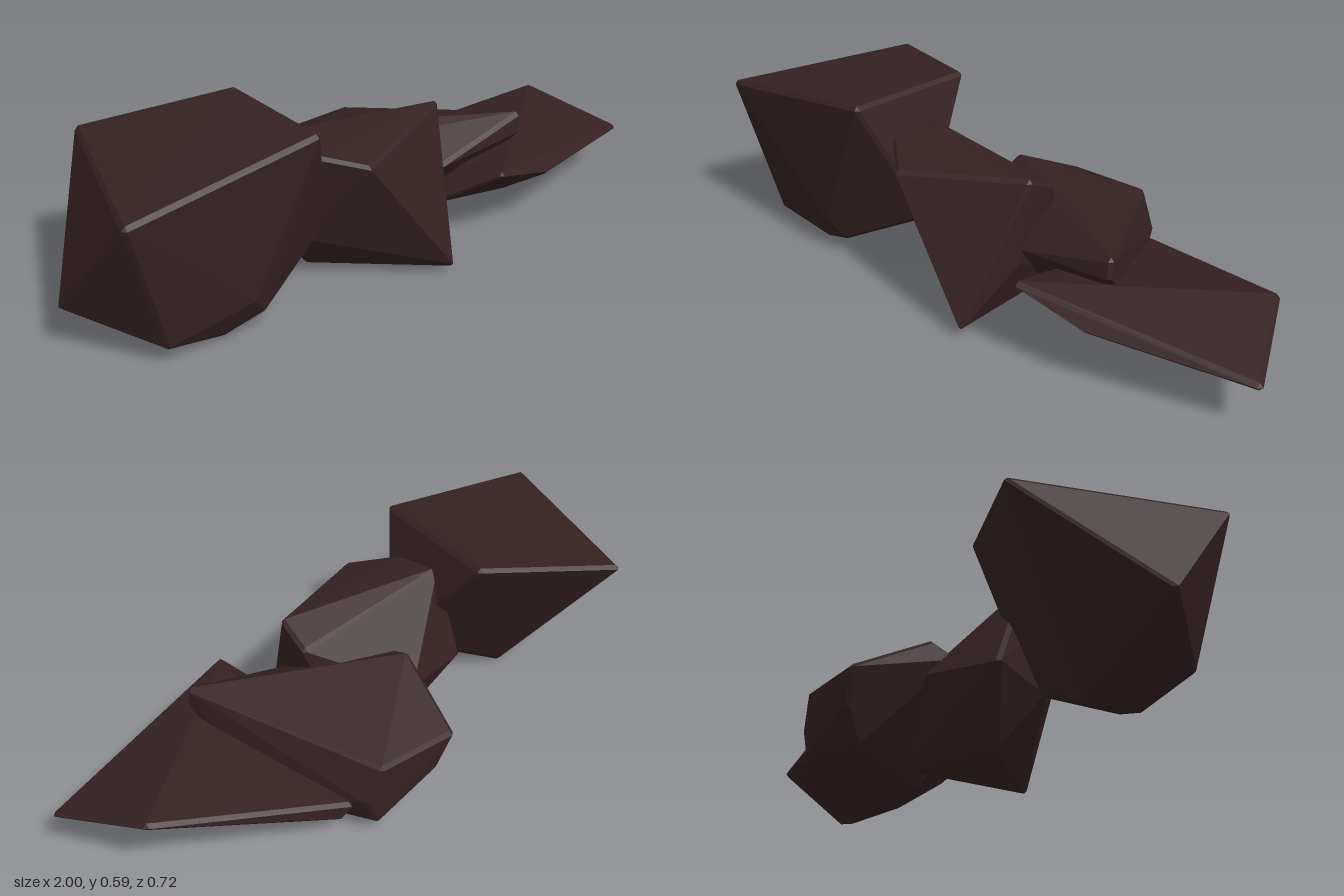
import * as THREE from 'three';
import { ConvexGeometry } from 'three/addons/geometries/ConvexGeometry.js';

const BEVEL = 0.012;

// Convex stone from a few corners, with narrow chamfers along the edges
function stone(name, material, corners) {
  const pts = corners.map((c) => new THREE.Vector3(...c));
  const centre = pts.reduce((a, p) => a.add(p), new THREE.Vector3()).divideScalar(pts.length);
  const cloud = [];
  for (const p of pts) {
    const inner = p.clone().add(centre.clone().sub(p).setLength(BEVEL * 1.2));
    for (const axis of [0, 1, 2]) {
      for (const sign of [-1, 1]) {
        const q = inner.clone();
        q.setComponent(axis, q.getComponent(axis) + sign * BEVEL);
        q.y = Math.max(q.y, 0);
        cloud.push(q);
      }
    }
  }
  const mesh = new THREE.Mesh(new ConvexGeometry(cloud), material);
  mesh.name = name;
  return mesh;
}

export function createModel() {
  const group = new THREE.Group();
  group.name = 'rockCluster';
  const rock = new THREE.MeshStandardMaterial({ color: 0x352223 });
  rock.name = 'dark brown rock';

  // Large boulder: four-cornered top, narrowing to a rounded underside
  group.add(stone('largeBoulder', rock, [
    [-0.945, 0.503, 0.247], [-0.35, 0.587, 0.285], [-0.315, 0.567, -0.15], [-0.73, 0.495, -0.355],
    [-1.003, 0.155, -0.04], [-0.215, 0.205, 0.14],
    [-0.55, 0.12, 0.25], [-0.5, 0.055, 0.22], [-0.82, 0.06, 0.2], [-0.8, 0.06, 0.08],
    [-0.62, 0.01, 0.19], [-0.6, 0.0, 0.0],
  ]));

  // Wedge stone leaning beside the boulder
  group.add(stone('wedgeStone', rock, [
    [-0.19, 0.437, 0.305], [-0.305, 0.465, 0.19], [-0.32, 0.487, 0.035],
    [0.205, 0.472, 0.16], [0.21, 0.42, 0.06], [0.18, 0.2, 0.185],
    [0.1, 0.03, 0.36], [-0.2, 0.0, 0.02], [0.11, 0.01, -0.08],
    [-0.06, 0.25, -0.138], [-0.33, 0.21, -0.07], [-0.3, 0.16, 0.12],
  ]));

  // Ridged stone at the back
  group.add(stone('ridgedStone', rock, [
    [-0.06, 0.37, -0.11], [-0.075, 0.33, -0.03], [0.52, 0.353, 0.215], [0.52, 0.3, 0.222],
    [0.2, 0.27, 0.205], [-0.01, 0.24, -0.36], [0.26, 0.25, -0.35], [0.31, 0.14, -0.335],
    [0.04, 0.13, -0.345], [0.08, 0.035, -0.285], [0.275, 0.05, -0.34],
    [0.2, 0.0, 0.02], [0.45, 0.045, 0.0],
  ]));

  // Flat slab at the end
  group.add(stone('flatSlab', rock, [
    [0.295, 0.267, 0.36], [0.89, 0.243, -0.075], [1.005, 0.157, 0.22], [0.52, 0.2, 0.345],
    [0.185, 0.155, 0.2], [0.33, 0.12, -0.295], [0.36, 0.085, -0.285],
    [0.6, 0.0, 0.02], [0.52, 0.065, 0.17],
  ]));

  return group;
}
